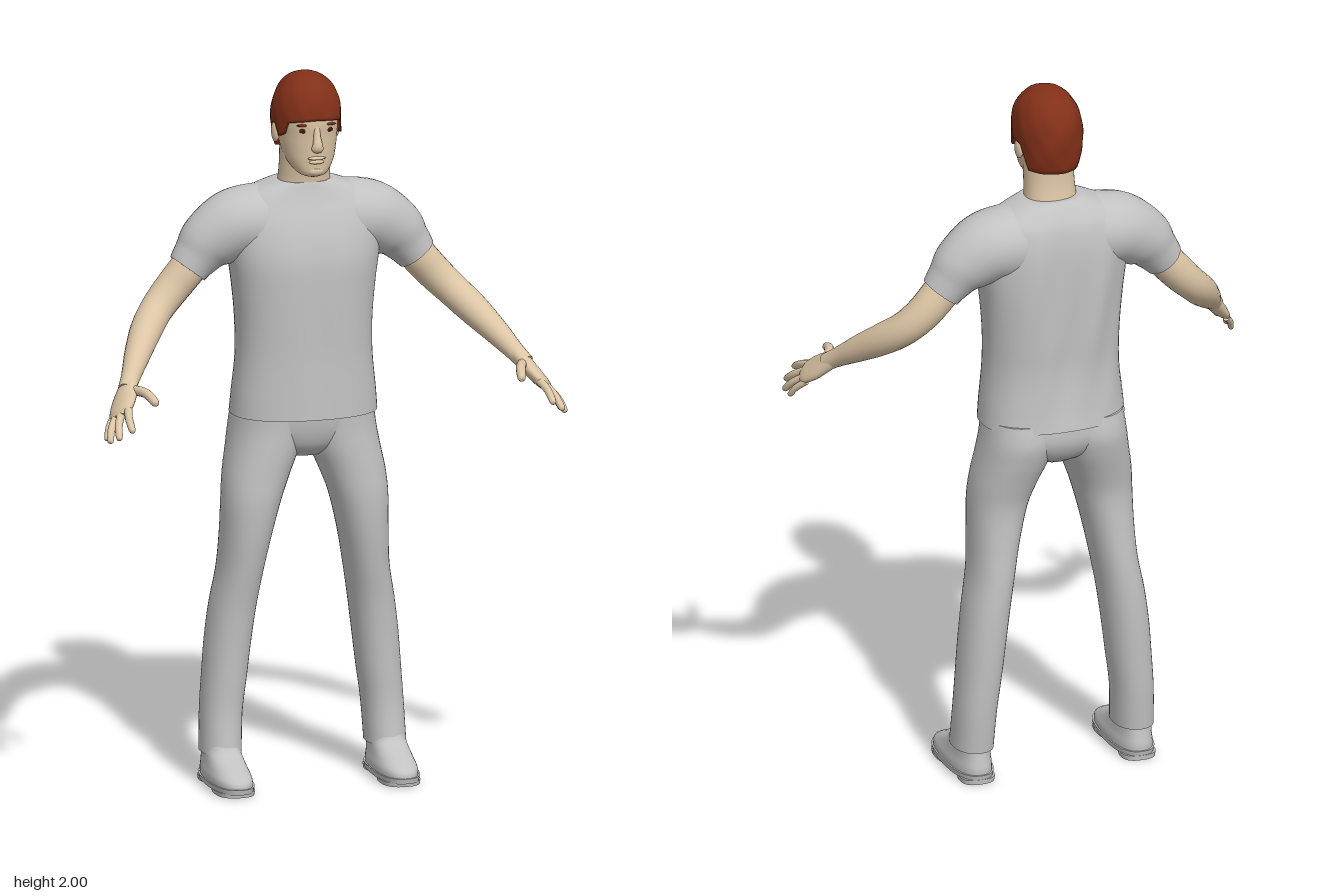
import * as THREE from 'three';

const mat = (name, color, side = THREE.FrontSide) => {
  const m = new THREE.MeshStandardMaterial({ color, side });
  m.name = name;
  return m;
};

// Closed-ring surface: f(u, v) gives a point, u runs round the ring; both ends get flat caps
function ringSurface(nu, nv, f) {
  const pos = [], index = [];
  for (let j = 0; j <= nv; j++)
    for (let i = 0; i < nu; i++) pos.push(...f(i / nu * Math.PI * 2, j / nv));
  for (let j = 0; j < nv; j++)
    for (let i = 0; i < nu; i++) {
      const a = j * nu + i, b = j * nu + (i + 1) % nu;
      index.push(a, a + nu, b, b, a + nu, b + nu);
    }
  for (const j of [0, nv]) {
    const start = pos.length / 3, c = [0, 0, 0];
    for (let i = 0; i < nu; i++)
      for (let k = 0; k < 3; k++) {
        const value = pos[(j * nu + i) * 3 + k];
        pos.push(value);
        c[k] += value / nu;
      }
    pos.push(...c);
    for (let i = 0; i < nu; i++) {
      const a = start + i, b = start + (i + 1) % nu;
      index.push(start + nu, ...(j ? [b, a] : [a, b]));
    }
  }
  const g = new THREE.BufferGeometry();
  g.setAttribute('position', new THREE.Float32BufferAttribute(pos, 3));
  g.setIndex(index);
  g.computeVertexNormals();
  return g;
}

// Smooth interpolation through rows of numbers
function sample(rows, t) {
  const s = t * (rows.length - 1), i = Math.min(Math.floor(s), rows.length - 2), f = s - i;
  const at = k => rows[Math.max(0, Math.min(rows.length - 1, k))];
  return rows[0].map((_, c) => {
    const p0 = at(i - 1)[c], p1 = at(i)[c], p2 = at(i + 1)[c], p3 = at(i + 2)[c];
    const m1 = (p2 - p0) / 2, m2 = (p3 - p1) / 2, d = p1 - p2;
    return p1 + f * (m1 + f * (-3 * d - 2 * m1 - m2 + f * (2 * d + m1 + m2)));
  });
}

const power = (x, n) => Math.sign(x) * Math.abs(x) ** (2 / n);

// Level cross-sections: [x, y, z, halfWidth, halfDepth, forward tilt]
function loft(rows, { n = 2.2, nu = 40, warp = p => p } = {}) {
  return ringSurface(nu, (rows.length - 1) * 4, (u, v) => {
    const [x, y, z, a, b, tilt = 0] = sample(rows, v);
    const dz = b * power(Math.sin(u), n);
    return warp([x + a * power(Math.cos(u), n), y - tilt * dz, z + dz]);
  });
}

// Cross-sections square to a path: [x, y, z, radiusAcross, radiusAlongRef]
function limb(rows, { ref = [0, 0, 1], nu = 20 } = {}) {
  const r = new THREE.Vector3(...ref), e = 0.01;
  return ringSurface(nu, (rows.length - 1) * 5, (u, v) => {
    const [x, y, z, a, b] = sample(rows, v);
    const T = new THREE.Vector3(...sample(rows, Math.min(1, v + e)).slice(0, 3))
      .sub(new THREE.Vector3(...sample(rows, Math.max(0, v - e)).slice(0, 3))).normalize();
    const U = T.clone().cross(r).normalize(), V = U.clone().cross(T);
    return new THREE.Vector3(x, y, z).addScaledVector(U, a * Math.cos(u))
      .addScaledVector(V, b * Math.sin(u)).toArray();
  });
}

function mirrored(geo) {
  const g = geo.clone().scale(-1, 1, 1), ix = g.index.array;
  for (let i = 0; i < ix.length; i += 3) [ix[i], ix[i + 1]] = [ix[i + 1], ix[i]];
  g.computeVertexNormals();
  return g;
}

const blob = (x, y, z, rx, ry, rz) =>
  new THREE.SphereGeometry(1, 20, 14).scale(rx, ry, rz).translate(x, y, z);

export function createModel() {
  const model = new THREE.Group();
  const cloth = mat('light grey cloth', 0xc2c2c2);
  const skin = mat('skin', 0xdcc5a5);
  const hair = mat('auburn hair', 0x823018, THREE.DoubleSide);
  const eye = mat('dark eye', 0x4a1610);

  const add = (name, geo, material) => {
    const m = new THREE.Mesh(geo, material);
    m.name = name;
    model.add(m);
  };
  const pair = (name, geo, material) => {
    add('left' + name, geo, material);
    add('right' + name, mirrored(geo), material);
  };

  // Shirt body with a shallow spine groove and soft folds
  add('shirtBody', loft([
    [0, 1.04, -0.127, 0.205, 0.146], [0, 1.1, -0.124, 0.2, 0.142], [0, 1.2, -0.122, 0.19, 0.139],
    [0, 1.3, -0.124, 0.19, 0.142], [0, 1.4, -0.125, 0.199, 0.143], [0, 1.48, -0.126, 0.21, 0.141],
    [0, 1.55, -0.132, 0.217, 0.131], [0, 1.6, -0.137, 0.213, 0.118], [0, 1.64, -0.14, 0.195, 0.102, 0.05],
    [0, 1.67, -0.136, 0.15, 0.086, 0.15], [0, 1.69, -0.13, 0.1, 0.074, 0.24], [0, 1.695, -0.125, 0.082, 0.067, 0.26],
  ], {
    n: 2.35, nu: 56, warp: ([x, y, z]) => {
      const mid = Math.max(0, Math.sin((y - 1.04) / 0.64 * Math.PI));
      if (z < -0.17) z += mid * (0.018 * Math.exp(-((x / 0.045) ** 2)) + 0.004 * Math.sin(x * 60 + y * 12));
      if (z > -0.08) z -= mid * 0.006 * Math.exp(-((x / 0.03) ** 2));
      return [x, y, z];
    },
  }), cloth);
  pair('Sleeve', limb([
    [0.08, 1.58, -0.14, 0.1, 0.1], [0.14, 1.578, -0.14, 0.102, 0.108], [0.2, 1.567, -0.14, 0.098, 0.102],
    [0.265, 1.528, -0.14, 0.084, 0.083], [0.3, 1.49, -0.139, 0.067, 0.066], [0.327, 1.455, -0.137, 0.057, 0.058],
  ], { nu: 32 }), cloth);

  // Trousers
  add('trouserSeat', loft([
    [0, 0.92, -0.135, 0.05, 0.06], [0, 0.95, -0.138, 0.12, 0.1],
    [0, 1.0, -0.14, 0.19, 0.122], [0, 1.06, -0.135, 0.195, 0.125],
  ], { n: 2.5 }), cloth);
  pair('TrouserLeg', loft([
    [0.235, 0.09, -0.132, 0.056, 0.08], [0.23, 0.2, -0.144, 0.057, 0.078], [0.22, 0.3, -0.146, 0.06, 0.081],
    [0.21, 0.4, -0.146, 0.062, 0.085], [0.197, 0.5, -0.142, 0.062, 0.09], [0.18, 0.6, -0.132, 0.061, 0.097],
    [0.167, 0.7, -0.12, 0.068, 0.101], [0.153, 0.8, -0.114, 0.08, 0.104], [0.137, 0.87, -0.122, 0.09, 0.111],
    [0.116, 0.94, -0.133, 0.098, 0.121], [0.104, 1.0, -0.14, 0.1, 0.126], [0.1, 1.06, -0.135, 0.096, 0.122],
  ]), cloth);

  // Shoes: upper, sole, forefoot tread and heel
  pair('ShoeUpper', loft([
    [0.236, 0.02, -0.067, 0.057, 0.148], [0.236, 0.042, -0.069, 0.057, 0.146], [0.236, 0.062, -0.085, 0.053, 0.126],
    [0.236, 0.082, -0.107, 0.05, 0.1], [0.236, 0.1, -0.125, 0.049, 0.08], [0.236, 0.125, -0.132, 0.047, 0.07],
  ], { n: 2.5 }), cloth);
  const slab = (y0, y1, z, a, b) => loft([[0.236, y0, z, a * 0.96, b * 0.98], [0.236, y1, z, a, b]], { n: 2.6 });
  pair('ShoeSole', slab(0.012, 0.027, -0.067, 0.061, 0.153), cloth);
  pair('ShoeTread', slab(0.002, 0.014, 0.0, 0.056, 0.075), cloth);
  pair('ShoeHeel', slab(0, 0.014, -0.17, 0.05, 0.048), cloth);

  // Bare arms
  pair('Arm', limb([
    [0.27, 1.525, -0.14, 0.05, 0.05], [0.325, 1.457, -0.138, 0.051, 0.052], [0.375, 1.4, -0.134, 0.049, 0.05],
    [0.422, 1.352, -0.113, 0.046, 0.048], [0.465, 1.308, -0.065, 0.044, 0.046], [0.51, 1.258, 0.005, 0.036, 0.038],
    [0.546, 1.214, 0.066, 0.027, 0.028], [0.57, 1.185, 0.105, 0.024, 0.025],
  ]), skin);

  // Hands
  pair('Palm', limb([
    [0.55, 1.209, 0.075, 0.024, 0.022], [0.568, 1.185, 0.104, 0.034, 0.021], [0.586, 1.16, 0.135, 0.043, 0.02],
    [0.604, 1.138, 0.165, 0.04, 0.016], [0.612, 1.128, 0.179, 0.026, 0.009],
  ], { ref: [0.7, 0.7, 0.06] }), skin);
  const finger = (a, m, b, r) => limb([
    [...a, r, r], [...m, r * 0.95, r * 0.95],
    [...b.map((v, i) => m[i] + (v - m[i]) * 0.85), r * 0.8, r * 0.8], [...b, r * 0.2, r * 0.2],
  ], { ref: [0.7, 0.7, 0.06], nu: 12 });
  pair('IndexFinger', finger([0.583, 1.155, 0.168], [0.597, 1.136, 0.222], [0.601, 1.108, 0.276], 0.0115), skin);
  pair('MiddleFinger', finger([0.599, 1.143, 0.165], [0.622, 1.115, 0.21], [0.633, 1.083, 0.255], 0.0115), skin);
  pair('RingFinger', finger([0.61, 1.13, 0.153], [0.636, 1.102, 0.188], [0.65, 1.068, 0.222], 0.011), skin);
  pair('LittleFinger', finger([0.617, 1.12, 0.138], [0.637, 1.096, 0.162], [0.649, 1.066, 0.184], 0.0095), skin);
  pair('Thumb', finger([0.56, 1.187, 0.11], [0.535, 1.19, 0.175], [0.521, 1.172, 0.236], 0.014), skin);

  // Neck and head
  add('neck', loft([
    [0, 1.64, -0.125, 0.08, 0.068], [0, 1.69, -0.12, 0.073, 0.062],
    [0, 1.74, -0.112, 0.07, 0.062], [0, 1.8, -0.105, 0.07, 0.068],
  ]), skin);
  add('head', loft([
    [0, 1.722, -0.035, 0.02, 0.025], [0, 1.732, -0.042, 0.042, 0.048], [0, 1.763, -0.063, 0.064, 0.072],
    [0, 1.8, -0.08, 0.075, 0.091], [0, 1.84, -0.09, 0.081, 0.103], [0, 1.88, -0.093, 0.085, 0.109],
    [0, 1.93, -0.095, 0.078, 0.102], [0, 1.965, -0.095, 0.055, 0.075], [0, 1.98, -0.095, 0.02, 0.03],
  ]), skin);
  pair('Ear', blob(0.085, 1.835, -0.105, 0.011, 0.03, 0.02).rotateX(0), skin);

  // Face
  add('nose', limb([
    [0, 1.868, 0.008, 0.009, 0.008], [0, 1.84, 0.014, 0.01, 0.01],
    [0, 1.818, 0.02, 0.014, 0.013], [0, 1.806, 0.018, 0.017, 0.012], [0, 1.8, 0.01, 0.008, 0.006],
  ], { ref: [0, 0, 1] }), skin);
  add('upperLip', blob(0, 1.779, 0.011, 0.026, 0.005, 0.008), skin);
  add('lowerLip', blob(0, 1.768, 0.009, 0.022, 0.006, 0.008), skin);
  add('chin', blob(0, 1.74, -0.003, 0.024, 0.014, 0.014), skin);
  pair('Eye', blob(0.034, 1.857, 0.004, 0.014, 0.007, 0.005), eye);
  pair('Brow', blob(0.036, 1.873, 0.006, 0.021, 0.004, 0.006).rotateX(0), hair);

  // Hair cap whose lower edge dips at the sideburns and nape; keys are [front-facing amount, height]
  const edge = [[-1, 1.782], [-0.5, 1.785], [-0.25, 1.858], [0.1, 1.862], [0.25, 1.83],
    [0.5, 1.842], [0.64, 1.876], [1.01, 1.886]];
  const edgeHeight = s => {
    const i = Math.max(1, edge.findIndex(k => k[0] > s)), [a, b] = [edge[i - 1], edge[i]];
    return a[1] + (b[1] - a[1]) * (s - a[0]) / (b[0] - a[0]);
  };
  add('hair', ringSurface(72, 24, (u, v) => {
    const y0 = edgeHeight(Math.sin(u)), w = Math.max(0, (v - 0.04) / 0.96);
    const y = y0 + (2 - y0) * Math.sin(w * Math.PI / 2), h = (y - 1.87) / 0.13;
    let r = h > 0 ? Math.max(0.001, 1 - h ** 2.4) ** (1 / 2.2) : 1 - 0.22 * h * h;
    r *= 1 + 0.012 * Math.sin(5 * u + y * 45) + 0.008 * Math.sin(11 * u - y * 70);
    if (v === 0) r *= 0.84;
    return [0.094 * r * power(Math.cos(u), 2.15), y, -0.096 + 0.118 * r * power(Math.sin(u), 2.15)];
  }), hair);

  return model;
}
